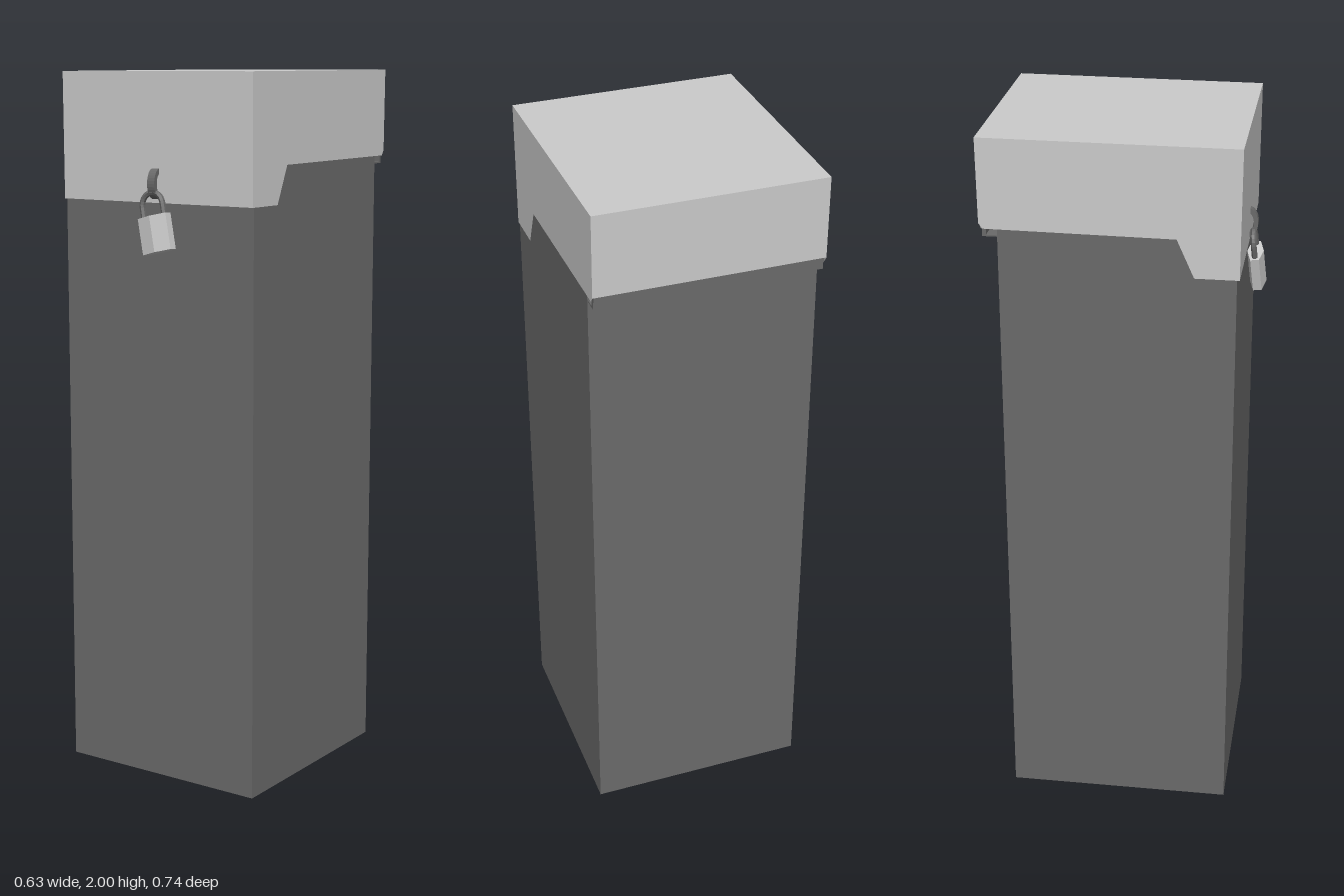
import * as THREE from 'three';

const material = (color) =>
  new THREE.MeshStandardMaterial({ color, side: THREE.DoubleSide, flatShading: true });
const light = material(0xcccccc);
const dark = material(0x6a6a6a);

function add(parent, name, geometry, mat, x = 0, y = 0, z = 0) {
  const mesh = new THREE.Mesh(geometry, mat);
  mesh.name = name;
  mesh.position.set(x, y, z);
  parent.add(mesh);
  return mesh;
}

// Thin sheet-metal lid: two cut-out cheeks joined by front, top and back panels
function createLid() {
  const lid = new THREE.Group();
  lid.name = 'lid';
  const half = 0.317;
  // Side profile as (z, y); the first four points carry the joining panels
  const profile = [
    [0.323, 1.645], [0.325, 1.997], [-0.368, 2], [-0.365, 1.77],
    [-0.355, 1.755], [0.157, 1.75], [0.204, 1.645],
  ].map(([z, y]) => new THREE.Vector2(-z, y));
  for (const side of [-1, 1]) {
    const cheek = add(lid, side > 0 ? 'lidLeftSide' : 'lidRightSide',
      new THREE.ShapeGeometry(new THREE.Shape(profile)), light, side * half);
    cheek.rotation.y = Math.PI / 2;
  }
  ['lidFront', 'lidTop', 'lidBack'].forEach((name, i) => {
    const a = profile[i], b = profile[i + 1];
    const panel = new THREE.BufferGeometry();
    panel.setAttribute('position', new THREE.Float32BufferAttribute([
      -half, a.y, -a.x, half, a.y, -a.x, half, b.y, -b.x, -half, b.y, -b.x,
    ], 3));
    panel.setIndex([0, 1, 2, 0, 2, 3]);
    panel.computeVertexNormals();
    add(lid, name, panel, light);
  });
  return lid;
}

// Hanging padlock with a six-sided case and a bent-rod shackle
function createPadlock() {
  const padlock = new THREE.Group();
  padlock.name = 'padlock';
  const outline = new THREE.Shape([
    [-0.047, -0.012], [0, -0.023], [0.047, -0.012],
    [0.047, 0.012], [0, 0.023], [-0.047, 0.012],
  ].map(([x, z]) => new THREE.Vector2(x, z)));
  const caseGeometry = new THREE.ExtrudeGeometry(outline, { depth: 0.1, bevelEnabled: false });
  caseGeometry.translate(0, 0, -0.05).rotateX(-Math.PI / 2);
  add(padlock, 'padlockCase', caseGeometry, light);

  const radius = 0.034;
  const path = new THREE.CurvePath();
  const v = (x, y) => new THREE.Vector3(x, y, 0);
  const arc = [];
  for (let i = 0; i <= 8; i++) {
    const t = Math.PI * (1 - i / 8);
    arc.push(v(radius * Math.cos(t), 0.08 + radius * Math.sin(t)));
  }
  path.add(new THREE.LineCurve3(v(-radius, 0.04), arc[0]));
  path.add(new THREE.CatmullRomCurve3(arc));
  path.add(new THREE.LineCurve3(arc[8], v(radius, 0.04)));
  add(padlock, 'padlockShackle', new THREE.TubeGeometry(path, 20, 0.008, 6), dark);

  padlock.position.set(0.018, 1.563, 0.344);
  padlock.rotation.set(-0.09, 0, 0.24);
  return padlock;
}

// Flat-strap half ring standing out from the front of the lid
function createStaple() {
  const shape = new THREE.Shape();
  shape.absellipse(0, 0, 0.028, 0.042, -Math.PI / 2, Math.PI / 2);
  shape.absellipse(0, 0, 0.016, 0.028, Math.PI / 2, -Math.PI / 2, true);
  const geometry = new THREE.ExtrudeGeometry(shape, {
    depth: 0.024, bevelEnabled: false, curveSegments: 8,
  });
  geometry.translate(0, 0, -0.012).rotateY(-Math.PI / 2);
  return geometry;
}

export function createModel() {
  const model = new THREE.Group();
  model.name = 'lockedBin';

  // Four-sided tube, open at both ends
  const body = new THREE.CylinderGeometry(Math.SQRT1_2, Math.SQRT1_2, 1.76, 4, 1, true);
  body.rotateY(Math.PI / 4).scale(0.63, 1, 0.632);
  add(model, 'body', body, dark, 0, 0.88, 0);

  model.add(createLid());

  // Hinge rail: a leaf under the lid's back edge and a knuckle strip below it
  add(model, 'hingeLeaf', new THREE.BoxGeometry(0.626, 0.014, 0.045), dark, 0, 1.762, -0.339);
  add(model, 'hingeStrip', new THREE.BoxGeometry(0.626, 0.024, 0.01), dark, 0, 1.747, -0.351);
  add(model, 'hingeFlange', new THREE.BoxGeometry(0.626, 0.004, 0.04), dark, 0, 1.735, -0.336);

  add(model, 'staple', createStaple(), dark, 0, 1.697, 0.318);
  model.add(createPadlock());
  return model;
}
